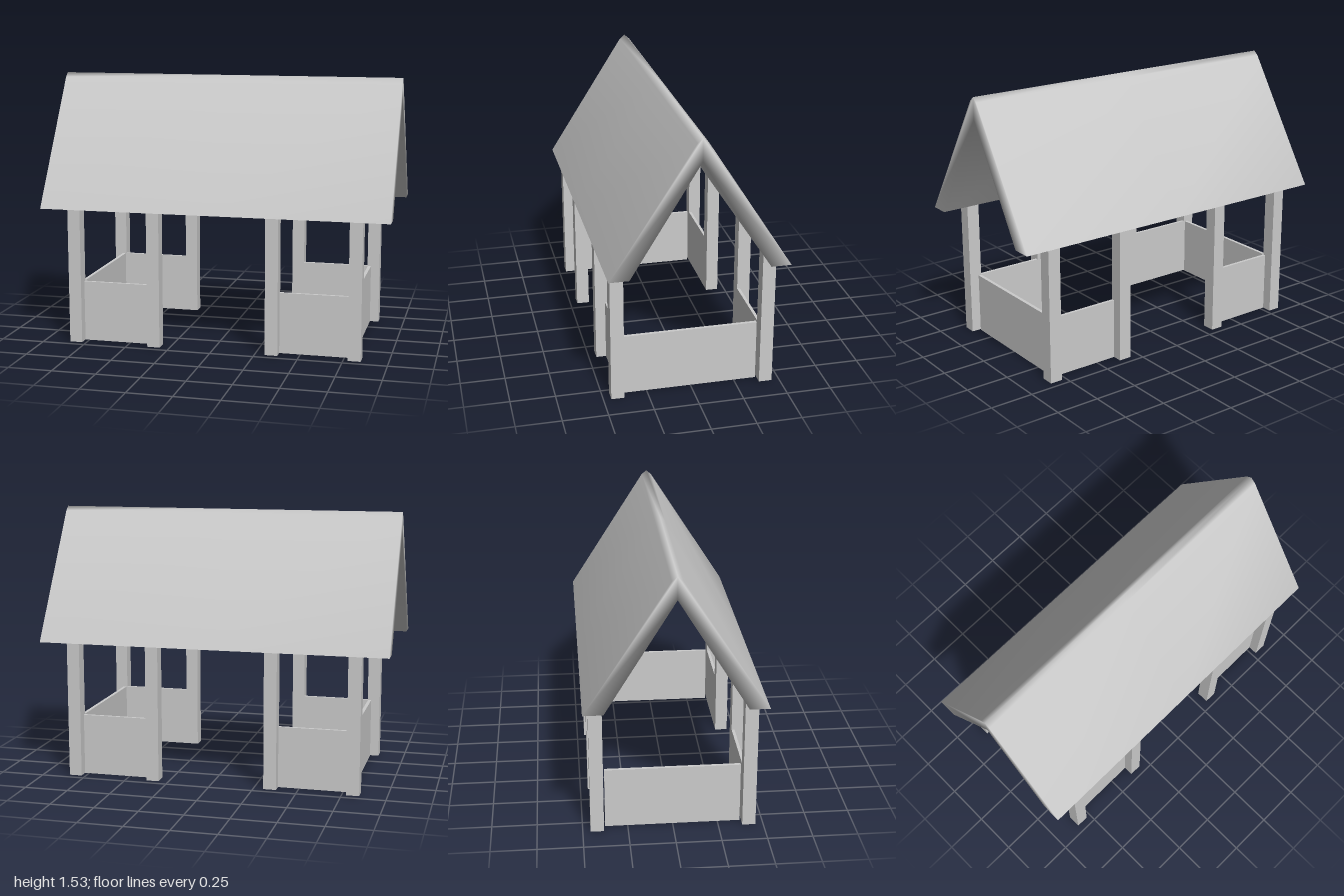
import * as THREE from 'three';
import { mergeVertices } from 'three/addons/utils/BufferGeometryUtils.js';

const material = new THREE.MeshStandardMaterial({ color: 0xcccccc });

// Box given by its minimum and maximum corners
function box(name, [x0, y0, z0], [x1, y1, z1]) {
  const mesh = new THREE.Mesh(new THREE.BoxGeometry(x1 - x0, y1 - y0, z1 - z0), material);
  mesh.position.set((x0 + x1) / 2, (y0 + y1) / 2, (z0 + z1) / 2);
  mesh.name = name;
  return mesh;
}

// Gable roof: chevron section run along x, softly shaded throughout
function createRoof() {
  const section = new THREE.Shape([
    [-0.49, 0.785], [-0.38, 0.785], [0, 1.405], [0.38, 0.785], [0.49, 0.785],
    [0.03, 1.505], [0, 1.53], [-0.03, 1.505],
  ].map(([z, y]) => new THREE.Vector2(z, y)));
  let geometry = new THREE.ExtrudeGeometry(section, { depth: 2, steps: 2, bevelEnabled: false });
  geometry.translate(0, 0, -1).rotateY(Math.PI / 2);
  geometry.deleteAttribute('normal');
  geometry.deleteAttribute('uv');
  geometry = mergeVertices(geometry);
  geometry.computeVertexNormals();
  const roof = new THREE.Mesh(geometry, material);
  roof.name = 'roof';
  return roof;
}

export function createModel() {
  const model = new THREE.Group();
  model.name = 'shelter';
  model.add(createRoof());

  const postHeight = 0.787, wallHeight = 0.35;
  for (const side of [-1, 1]) {
    const sideName = side > 0 ? 'left' : 'right';
    const span = (a, b) => (side > 0 ? [a, b] : [-b, -a]);

    for (const face of [-1, 1]) {
      const faceName = face > 0 ? 'Front' : 'Back';
      const depth = (a, b) => (face > 0 ? [a, b] : [-b, -a]);

      // Outer and inner posts
      const [pz0, pz1] = depth(0.383, 0.457);
      for (const [label, a, b] of [['Outer', 0.775, 0.848], ['Inner', 0.307, 0.38]]) {
        const [x0, x1] = span(a, b);
        model.add(box(`${sideName}${faceName}${label}Post`, [x0, 0, pz0], [x1, postHeight, pz1]));
      }

      // Low wall between the two posts
      const [x0, x1] = span(0.38, 0.775);
      const [z0, z1] = depth(0.383, 0.4);
      model.add(box(`${sideName}${faceName}Wall`, [x0, 0, z0], [x1, wallHeight, z1]));
    }

    // Low wall closing the end
    const [x0, x1] = span(0.778, 0.797);
    model.add(box(`${sideName}EndWall`, [x0, 0, -0.375], [x1, wallHeight, 0.375]));
  }
  return model;
}
